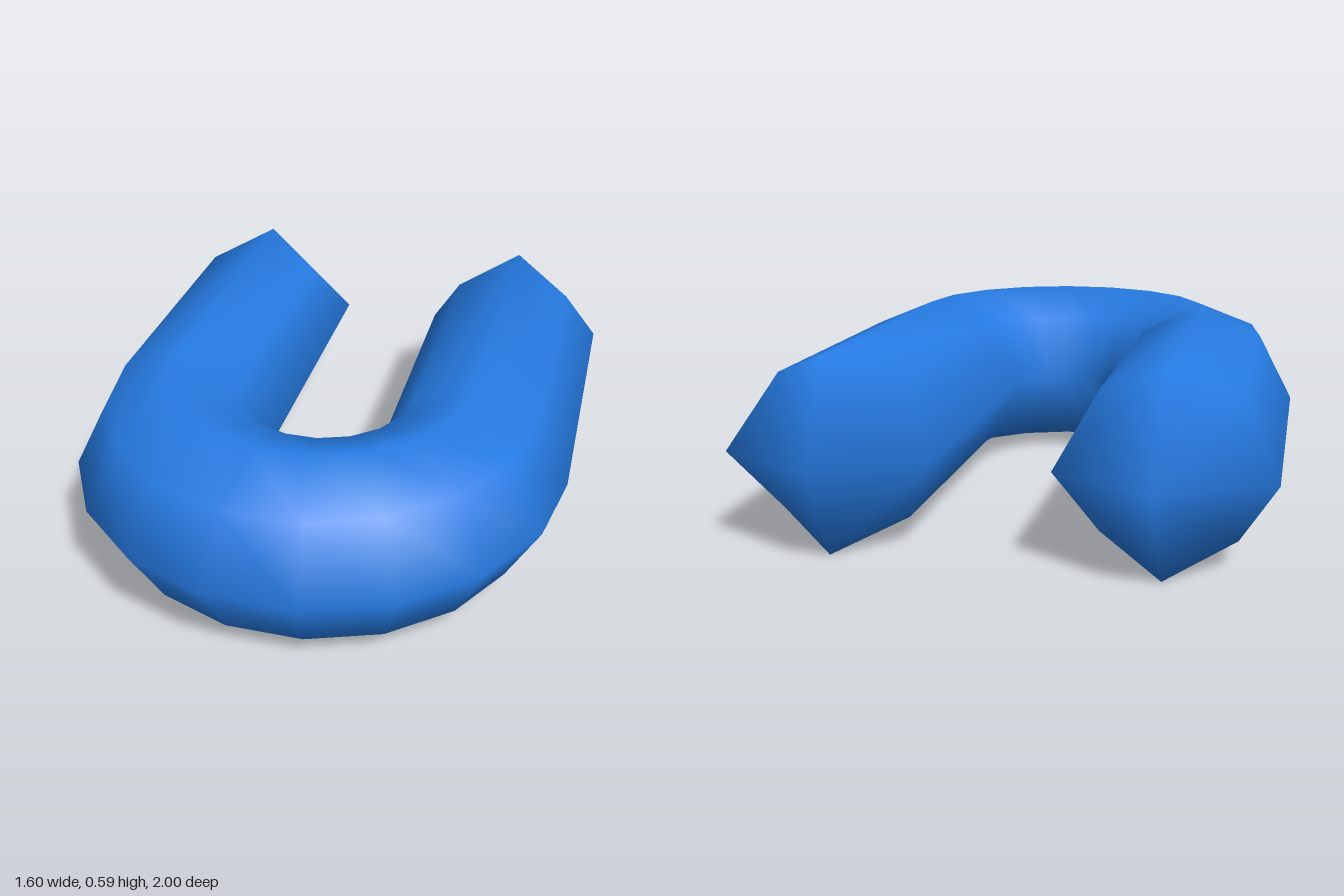
import * as THREE from 'three';

// Octagonal cross-section: u points to the outside of the bend, v points up
const SECTION = [
  [0.312, 0], [0.2, 0.213], [0, 0.297], [-0.2, 0.213],
  [-0.312, 0], [-0.2, -0.213], [0, -0.297], [0.2, -0.213],
];
const SIDES = SECTION.length;
const BEND_RADIUS = 0.488, BEND_STEPS = 9, BEND_Z = 0.19, MID_Y = 0.297;

function uTubeGeometry() {
  const positions = [], index = [];

  // Arm end: corners on the diagonals sit further back than those on the axes
  const addEndRing = (side) => SECTION.forEach(([u, v], k) =>
    positions.push(side * (BEND_RADIUS + u), MID_Y + v, k % 2 ? -0.69 : -0.83));

  // Rings: one arm end, the half-circle bend, the other arm end
  addEndRing(1);
  for (let i = 0; i <= BEND_STEPS; i++) {
    const a = (Math.PI * i) / BEND_STEPS;
    for (const [u, v] of SECTION) {
      const r = BEND_RADIUS + u;
      positions.push(r * Math.cos(a), MID_Y + v, BEND_Z + 0.06 * u + r * Math.sin(a));
    }
  }
  addEndRing(-1);
  const lastRing = BEND_STEPS + 2;

  // Tube wall
  for (let i = 0; i < lastRing; i++) {
    for (let k = 0; k < SIDES; k++) {
      const n = (k + 1) % SIDES;
      const a = i * SIDES + k, b = i * SIDES + n;
      const c = b + SIDES, d = a + SIDES;
      index.push(a, b, c, a, c, d);
    }
  }

  // Pointed caps: outer quarters fold inward, inner quarters fold outward
  const addCap = (ring, side) => {
    const tip = positions.length / 3;
    positions.push(side * (BEND_RADIUS - 0.01), MID_Y, -1);
    const tri = (a, b, c) => (side > 0 ? index.push(a, c, b) : index.push(a, b, c));
    for (let q = 0; q < 4; q++) {
      const [a, d, b] = [0, 1, 2].map((o) => ring * SIDES + ((2 * q + o) % SIDES));
      if (q === 0 || q === 3) {
        tri(tip, a, d);
        tri(tip, d, b);
      } else {
        tri(tip, a, b);
        tri(a, d, b);
      }
    }
  };
  addCap(0, 1);
  addCap(lastRing, -1);

  const geometry = new THREE.BufferGeometry();
  geometry.setAttribute('position', new THREE.Float32BufferAttribute(positions, 3));
  geometry.setIndex(index);
  geometry.computeVertexNormals();
  return geometry;
}

export function createModel() {
  const blue = new THREE.MeshStandardMaterial({ color: 0x267be3 });
  blue.name = 'blue';
  const tube = new THREE.Mesh(uTubeGeometry(), blue);
  tube.name = 'uShapedTube';
  const group = new THREE.Group();
  group.name = 'uShape';
  group.add(tube);
  return group;
}
